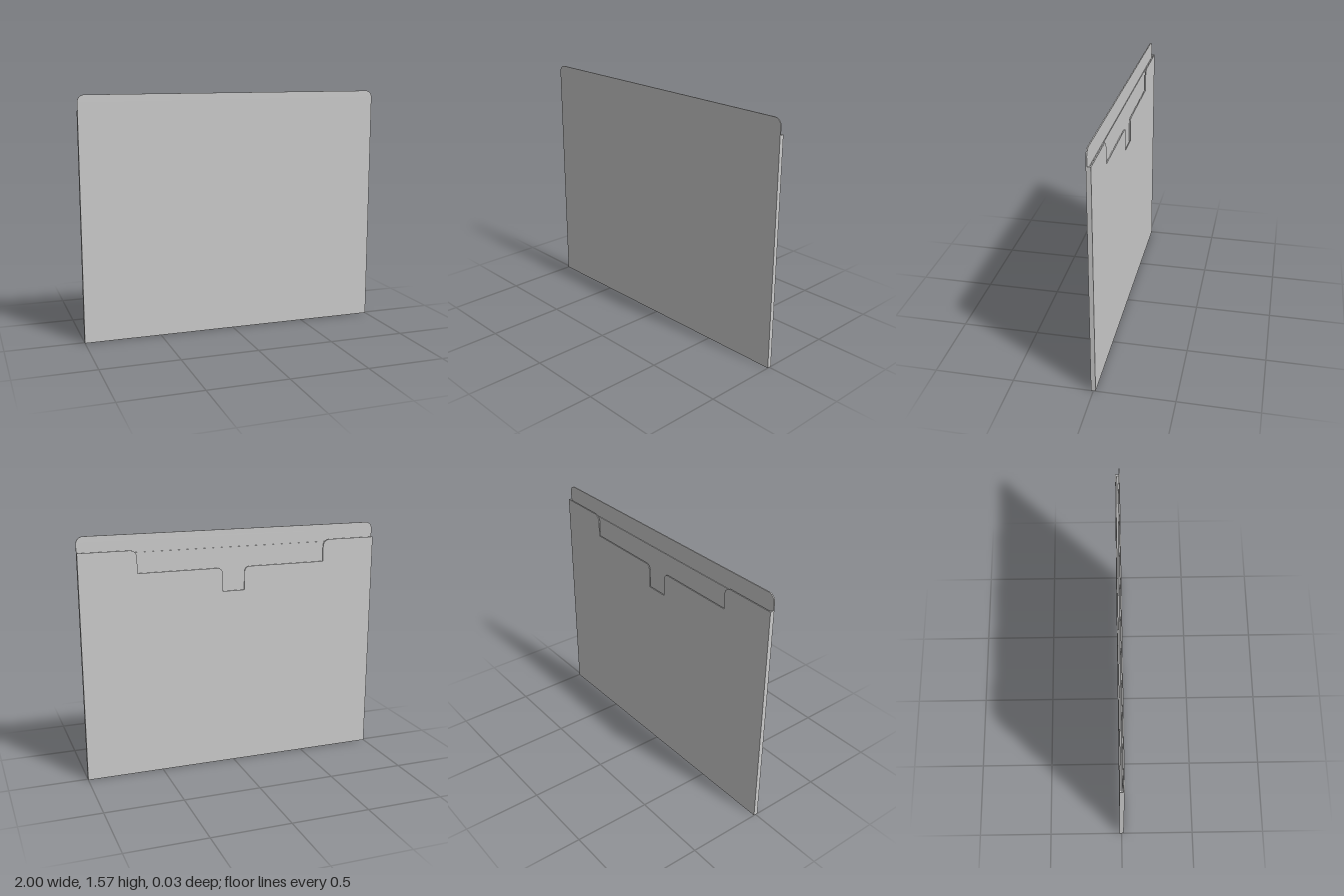
import * as THREE from 'three';

const material = new THREE.MeshStandardMaterial({ color: 0xcccccc });

// Extrude a flat outline from z0 to z1. Points are [x, y, cornerRadius].
function panel(name, points, z0, z1) {
  const shape = new THREE.Shape();
  const n = points.length;
  points.forEach(([x, y, r = 0], i) => {
    const toward = ([px, py]) => {
      const d = Math.hypot(px - x, py - y);
      return [x + ((px - x) * r) / d, y + ((py - y) * r) / d];
    };
    const a = toward(points[(i + n - 1) % n]);
    if (i === 0) shape.moveTo(...a);
    else shape.lineTo(...a);
    if (r) {
      // Quarter-round corner as a cubic arc
      const b = toward(points[(i + 1) % n]);
      const k = 0.5523;
      shape.bezierCurveTo(
        a[0] + (x - a[0]) * k, a[1] + (y - a[1]) * k,
        b[0] + (x - b[0]) * k, b[1] + (y - b[1]) * k, b[0], b[1]);
    }
  });
  shape.closePath();
  const geometry = new THREE.ExtrudeGeometry(shape, { depth: z1 - z0, bevelEnabled: false, curveSegments: 10 });
  geometry.translate(0, 0, z0);
  const mesh = new THREE.Mesh(geometry, material);
  mesh.name = name;
  return mesh;
}

function box(name, w, h, d, x, y, z) {
  const mesh = new THREE.Mesh(new THREE.BoxGeometry(w, h, d), material);
  mesh.name = name;
  mesh.position.set(x, y, z);
  return mesh;
}

// Mirror a right-to-centre outline across x = 0.
const mirrored = (half) => [...half, ...half.slice().reverse().map(([x, y, r]) => [-x, y, r])];

export function createModel() {
  const group = new THREE.Group();
  group.name = 'documentFolder';

  // Tall front cover with rounded top corners
  group.add(panel('frontCover', mirrored([[1, 0], [1, 1.573, 0.045]]), 0.007, 0.014));

  // Shorter back cover with the stepped finger cutout
  group.add(panel('backCover', mirrored([
    [1, 0], [1, 1.475],
    [0.632, 1.475, 0.045], [0.632, 1.33],
    [0.075, 1.33, 0.035], [0.075, 1.177],
  ]), -0.014, -0.007));

  // Loose sheet held between the covers
  group.add(box('innerSheet', 1.89, 1.45, 0.004, 0, 0.735, 0.003));

  // Folded bottom and side gussets
  group.add(box('bottomFold', 2, 0.008, 0.014, 0, 0.004, 0));
  for (const s of [1, -1]) {
    group.add(box(s > 0 ? 'leftGusset' : 'rightGusset', 0.008, 1.467, 0.014, s * 0.996, 0.7415, 0));
  }
  return group;
}
